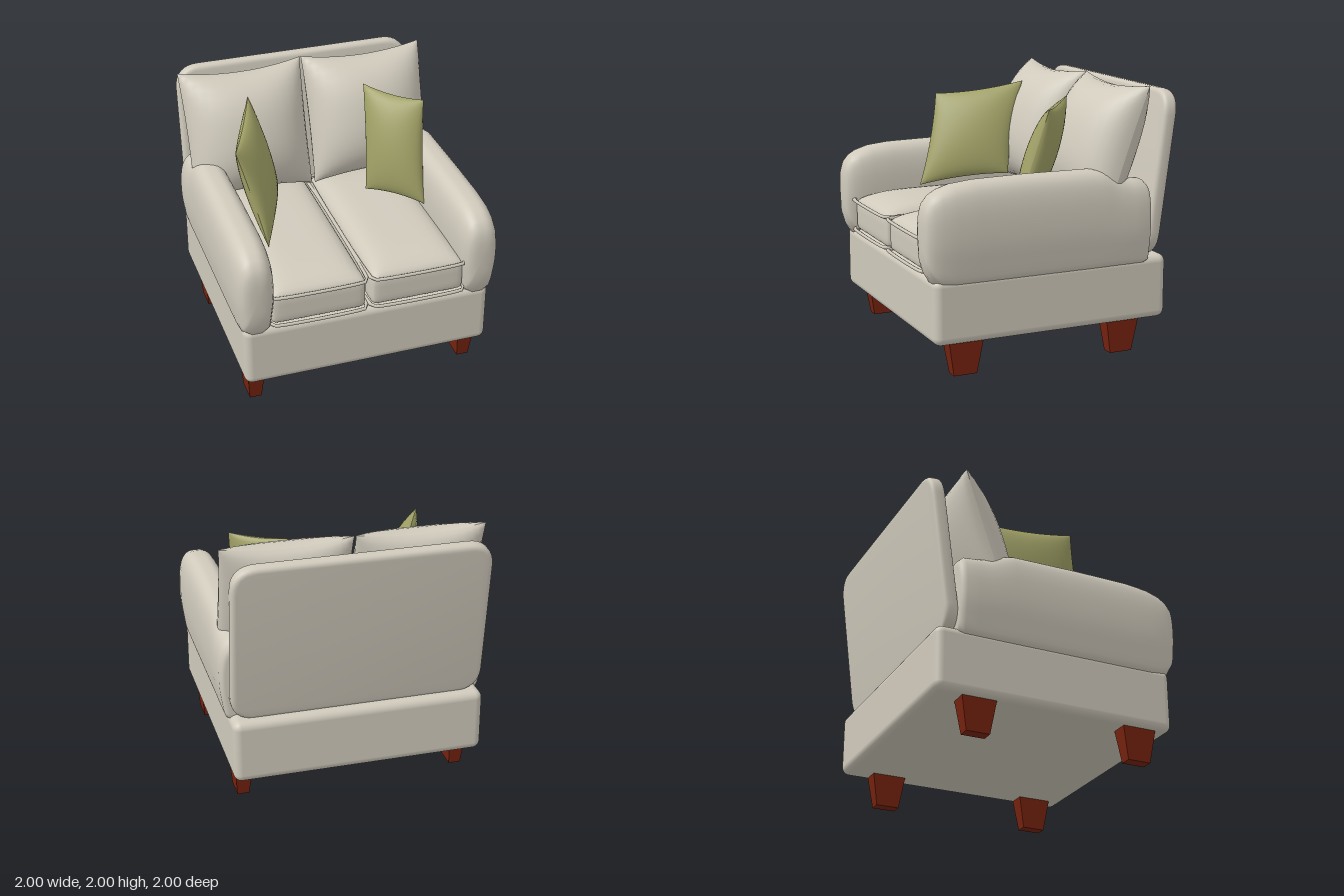
import * as THREE from 'three';
import { mergeVertices, toCreasedNormals } from 'three/addons/utils/BufferGeometryUtils.js';
import { RoundedBoxGeometry } from 'three/addons/geometries/RoundedBoxGeometry.js';

const mat = (name, color) => Object.assign(new THREE.MeshStandardMaterial({ color }), { name });
const V = (x, y, z) => new THREE.Vector3(x, y, z);

function buildGeometry(positions, index) {
  const g = new THREE.BufferGeometry();
  g.setAttribute('position', new THREE.Float32BufferAttribute(positions, 3));
  g.setIndex(index);
  g.computeVertexNormals();
  return g;
}

// Stuffed pillow from its corners: top left, top right, bottom right, bottom left
function pillowGeometry([a, b, c, d], front, back, pinchU, pinchV, p) {
  const n = 18, pos = [], idx = [];
  const normal = b.clone().sub(a).cross(a.clone().sub(d)).normalize();
  const puff = (t) => Math.sqrt(Math.max(0, 1 - Math.abs(t) ** p));
  const spread = (i) => Math.sin((i / n - 0.5) * Math.PI);
  for (const side of [1, -1]) {
    const start = pos.length / 3;
    for (let j = 0; j <= n; j++) for (let i = 0; i <= n; i++) {
      const u = spread(i), v = spread(j);
      const s = (1 + u * (1 - pinchU * (1 - v * v))) / 2;
      const t = (1 + v * (1 - pinchV * (1 - u * u))) / 2;
      const q = d.clone().lerp(c, s).lerp(a.clone().lerp(b, s), t);
      q.addScaledVector(normal, (side > 0 ? front : -back) * puff(u) * puff(v));
      pos.push(q.x, q.y, q.z);
      if (i < n && j < n) {
        const k = start + j * (n + 1) + i, l = k + n + 1;
        if (side > 0) idx.push(k, k + 1, l + 1, k, l + 1, l);
        else idx.push(k, l + 1, k + 1, k, l, l + 1);
      }
    }
  }
  return buildGeometry(pos, idx);
}

// Padded arm: one rounded section lofted from back to front
function armGeometry() {
  const half = [[0.72, 0], [0.88, 0.18], [1, 0.42], [0.98, 0.7], [0.82, 0.88], [0.48, 0.98]];
  const outline = [...half, [0, 1], ...half.map(([u, v]) => [-u, v]).reverse()];
  const m = 40;
  const ring = new THREE.CatmullRomCurve3(outline.map(([u, v]) => V(u, v, 0)), true).getPoints(m).slice(0, m);
  const sections = [ // z, half width, bottom, top
    [-0.765, 0, 1, 1], [-0.765, 0.11, 0.74, 1.23], [-0.755, 0.135, 0.71, 1.27], [-0.72, 0.148, 0.7, 1.305],
    [-0.62, 0.15, 0.7, 1.315], [-0.52, 0.15, 0.7, 1.33], [-0.42, 0.15, 0.7, 1.38], [-0.33, 0.15, 0.7, 1.403],
    [0.2, 0.15, 0.7, 1.408], [0.6, 0.15, 0.7, 1.402], [0.77, 0.148, 0.7, 1.385], [0.87, 0.14, 0.71, 1.355],
    [0.93, 0.128, 0.74, 1.32], [0.97, 0.11, 0.8, 1.275], [0.99, 0.085, 0.86, 1.22], [1, 0.05, 0.94, 1.15], [1, 0, 1.05, 1.05],
  ];
  const pos = [], idx = [];
  sections.forEach(([z, w, lo, hi], i) => ring.forEach((r, j) => {
    pos.push(r.x * w, lo + r.y * (hi - lo), z);
    if (i === sections.length - 1) return;
    const k = i * m + j, k2 = i * m + (j + 1) % m;
    idx.push(k, k2, k2 + m, k, k2 + m, k + m);
  }));
  return buildGeometry(pos, idx);
}

// Seat cushion: rounded box with a crowned top
function seatGeometry(w, h, d, r) {
  const g = new THREE.BoxGeometry(2, 2, 2, 16, 10, 20);
  g.deleteAttribute('uv');
  g.deleteAttribute('normal');
  const p = g.attributes.position;
  const half = V(w / 2, h / 2, d / 2), inner = half.clone().subScalar(r);
  for (let i = 0; i < p.count; i++) {
    const t = V(p.getX(i), p.getY(i), p.getZ(i));
    const q = V(...t.toArray().map((e) => Math.sin(e * Math.PI / 2))).multiply(half);
    const core = q.clone().clamp(inner.clone().negate(), inner);
    q.sub(core).normalize().multiplyScalar(r).add(core);
    if (q.y > 0) {
      const crown = (1 - (q.x / half.x) ** 6) * (1 - (q.z / half.z) ** 6);
      q.y += 0.08 * crown * q.y / half.y;
    }
    p.setXYZ(i, q.x, q.y, q.z);
  }
  const merged = mergeVertices(g, 1e-5);
  merged.computeVertexNormals();
  return merged;
}

// Welt running around a seat cushion
function pipingGeometry(w, d) {
  const x = w / 2, z = d / 2, c = 0.05, pts = [];
  for (const [sx, sz] of [[1, 1], [-1, 1], [-1, -1], [1, -1]]) {
    const corner = [V(sx * x, 0, sz * (z - c)), V(sx * (x - 0.012), 0, sz * (z - 0.012)), V(sx * (x - c), 0, sz * z)];
    pts.push(...(sx * sz > 0 ? corner : corner.reverse()));
  }
  return new THREE.TubeGeometry(new THREE.CatmullRomCurve3(pts, true, 'centripetal'), 80, 0.014, 6, true);
}

// Flat back panel with rounded corners
function backGeometry(w, h, r, depth, bevel) {
  const x = w / 2 - bevel, y0 = bevel, y1 = h - bevel, s = new THREE.Shape();
  s.moveTo(-x + r, y0);
  s.lineTo(x - r, y0);
  s.quadraticCurveTo(x, y0, x, y0 + r);
  s.lineTo(x, y1 - r);
  s.quadraticCurveTo(x, y1, x - r, y1);
  s.lineTo(-x + r, y1);
  s.quadraticCurveTo(-x, y1, -x, y1 - r);
  s.lineTo(-x, y0 + r);
  s.quadraticCurveTo(-x, y0, -x + r, y0);
  const g = new THREE.ExtrudeGeometry(s, {
    depth: depth - 2 * bevel, bevelThickness: bevel, bevelSize: bevel, bevelSegments: 4, curveSegments: 8,
  });
  g.translate(0, 0, bevel - depth / 2);
  return toCreasedNormals(g, 0.7);
}

// Tapered square leg
function legGeometry() {
  const g = new THREE.BoxGeometry(0.135, 0.27, 0.27);
  const p = g.attributes.position;
  for (let i = 0; i < p.count; i++) {
    if (p.getY(i) < 0) p.setXYZ(i, p.getX(i) * 0.67, p.getY(i), p.getZ(i) * 0.66);
  }
  g.computeVertexNormals();
  return g;
}

export function createModel() {
  const group = new THREE.Group();
  const fabric = mat('upholstery', 0xd0cabc);
  const green = mat('greenFabric', 0xa0a066);
  const wood = mat('redWood', 0x7a2410);
  const add = (name, geometry, material, x = 0, y = 0, z = 0) => {
    const mesh = new THREE.Mesh(geometry, material);
    mesh.name = name;
    mesh.position.set(x, y, z);
    group.add(mesh);
    return mesh;
  };

  add('base', new RoundedBoxGeometry(1.89, 0.485, 1.86, 5, 0.06), fabric, 0, 0.488, 0.005);
  add('backPanel', backGeometry(1.89, 1.24, 0.15, 0.11, 0.035), fabric, 0, 0.72, -0.79).rotation.x = -0.13;

  const arm = armGeometry(), leg = legGeometry();
  const seat = seatGeometry(0.72, 0.25, 1.53, 0.05), piping = pipingGeometry(0.73, 1.56);
  for (const [side, s] of [['left', 1], ['right', -1]]) {
    add(side + 'Arm', arm, fabric, s * 0.85);
    add(side + 'FrontLeg', leg, wood, s * 0.835, 0.135, 0.68);
    add(side + 'BackLeg', leg, wood, s * 0.835, 0.135, -0.58);
    add(side + 'SeatCushion', seat, fabric, s * 0.38, 0.865, 0.165);
    for (const y of [0.75, 0.985]) add(side + 'SeatPiping', piping, fabric, s * 0.38, y, 0.17);

    // Back cushion leaning on the panel
    const corners = [V(0.005, 2, -0.73), V(0.975, 2, -0.73), V(0.96, 1.05, -0.4), V(0.01, 1.05, -0.4)];
    if (s < 0) {
      corners.forEach((c) => { c.x *= -1; });
      [corners[0], corners[1], corners[2], corners[3]] = [corners[1], corners[0], corners[3], corners[2]];
    }
    add(side + 'BackCushion', pillowGeometry(corners, 0.29, 0.2, 0.03, 0.1, 2.4), fabric);
  }

  // Loose throw pillows
  const leftPillow = [V(0.39, 1.88, -0.36), V(0.76, 1.84, -0.03), V(0.7, 1.07, 0.21), V(0.33, 1.1, -0.1)];
  const rightPillow = [V(-0.78, 1.78, 0.22), V(-0.51, 1.88, -0.42), V(-0.35, 1.17, -0.22), V(-0.61, 1.08, 0.43)];
  add('leftThrowPillow', pillowGeometry(leftPillow, 0.11, 0.11, 0.06, 0.06, 2), green);
  add('rightThrowPillow', pillowGeometry(rightPillow, 0.1, 0.1, 0.06, 0.06, 2), green);
  return group;
}
